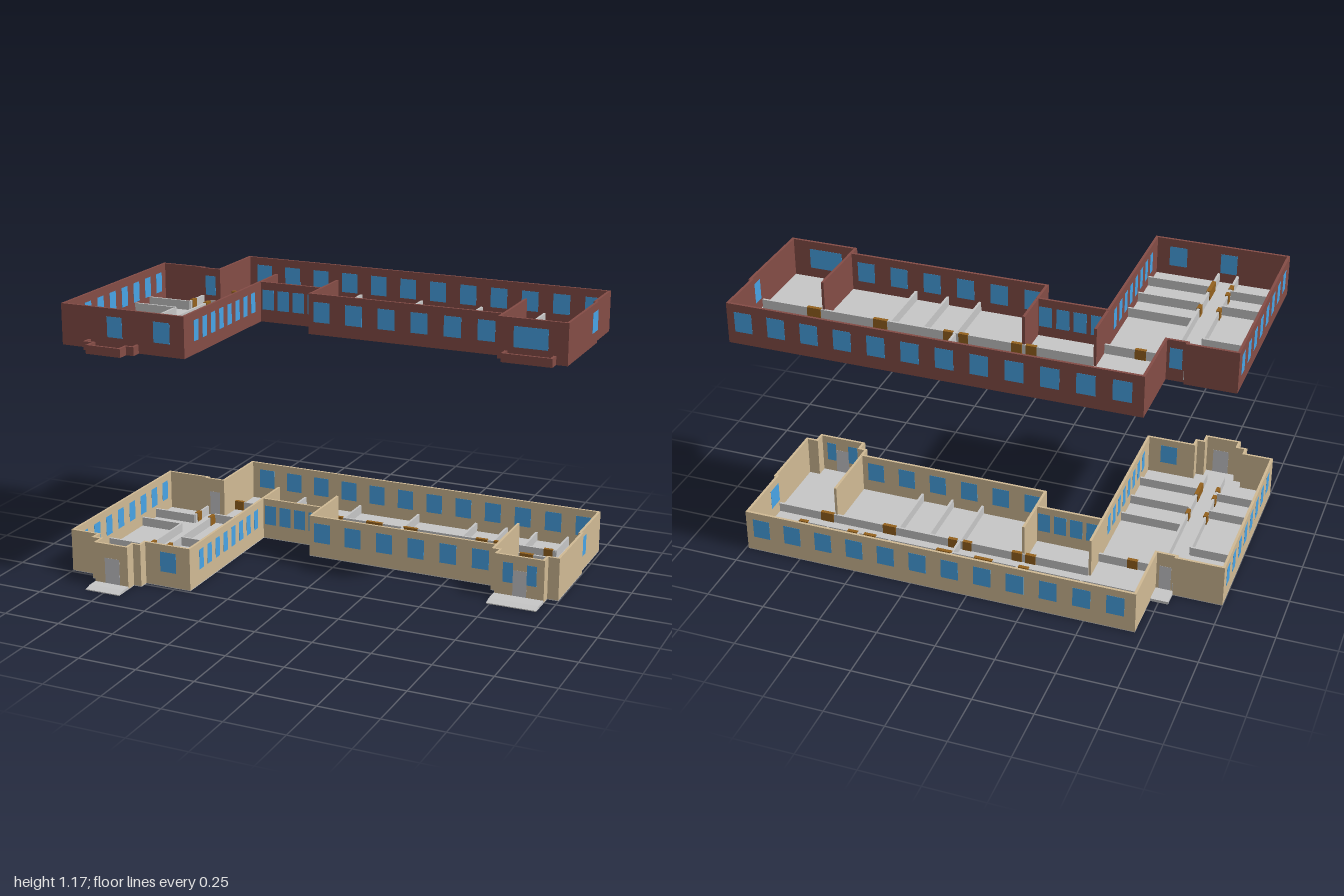
import * as THREE from 'three';

const T = 0.011; // outer wall thickness

const mat = (name, color) => Object.assign(new THREE.MeshStandardMaterial({ color }), { name });

// Footprint as [x, z] corners; jog is where the east wall steps outward
function footprint(jog, withPorches) {
  const east = withPorches ? [[0.95, -0.04], [0.95, 0.008], [0.735, 0.008], [0.735, -0.04]] : [];
  const west = withPorches
    ? [[-0.64, 0.488], [-0.64, 0.53], [-0.675, 0.53], [-0.675, 0.577], [-0.835, 0.577], [-0.835, 0.53], [-0.875, 0.53], [-0.875, 0.488]]
    : [];
  return [
    [-0.715, -0.655], [0.989, -0.655], [0.989, jog], [0.998, jog], [0.998, -0.04], ...east,
    [0.703, -0.04], [0.703, -0.085], [-0.15, -0.085], [-0.15, -0.2], [-0.43, -0.2], [-0.43, 0.488], ...west,
    [-1, 0.488], [-1, -0.37], [-0.79, -0.37], [-0.79, -0.357], [-0.715, -0.357],
  ];
}

// Offset a right-angled outline inward by d
function inset(pts, d) {
  const n = pts.length;
  const dir = (a, b) => [Math.sign(b[0] - a[0]), Math.sign(b[1] - a[1])];
  return pts.map((p, i) => {
    const a = dir(pts[(i + n - 1) % n], p);
    const b = dir(p, pts[(i + 1) % n]);
    return [p[0] - d * (a[1] + b[1]), p[1] + d * (a[0] + b[0])];
  });
}

const toVec = (pts) => pts.map(([x, z]) => new THREE.Vector2(x, -z));

// Upright prism over a footprint, optionally hollow (the hole winds the other way)
function prism(name, pts, y0, y1, material, hole) {
  const shape = new THREE.Shape(toVec(pts));
  if (hole) shape.holes.push(new THREE.Path(toVec(hole).reverse()));
  const geo = new THREE.ExtrudeGeometry(shape, { depth: y1 - y0, bevelEnabled: false });
  geo.rotateX(-Math.PI / 2).translate(0, y0, 0);
  const mesh = new THREE.Mesh(geo, material);
  mesh.name = name;
  return mesh;
}

function box(name, x0, x1, y0, y1, z0, z1, material) {
  const mesh = new THREE.Mesh(new THREE.BoxGeometry(x1 - x0, y1 - y0, z1 - z0), material);
  mesh.position.set((x0 + x1) / 2, (y0 + y1) / 2, (z0 + z1) / 2);
  mesh.name = name;
  return mesh;
}

// Entrance slab with a sloped front edge
function ramp(x0, x1, z0, z1, material) {
  const s = new THREE.Shape(toVec([[z0, 0], [z1, 0], [z1, -0.004], [z1 - 0.035, -0.012], [z0, -0.012]]));
  const geo = new THREE.ExtrudeGeometry(s, { depth: x1 - x0, bevelEnabled: false });
  geo.rotateY(-Math.PI / 2).translate(x1, 0, 0);
  const mesh = new THREE.Mesh(geo, material);
  mesh.name = 'entranceRamp';
  return mesh;
}

// Low inner walls: [fixed coordinate, from, to]
const ALONG_X = [
  [-0.46, -0.71, 0.85], [-0.37, -0.43, 0.98], [-0.26, -0.71, -0.44],
  [-0.215, -0.99, -0.79], [-0.09, -0.99, -0.79], [0.2, -0.99, -0.79], [0.34, -0.99, -0.79],
  [0.06, -0.71, -0.44], [0.2, -0.71, -0.44], [0.35, -0.71, -0.44],
];
const ALONG_Z = [
  ...[-0.43, -0.15, 0.14, 0.42, 0.565, 0.705, 0.85].map((x) => [x, -0.645, -0.46]),
  ...[0.14, 0.28, 0.42].map((x) => [x, -0.37, -0.095]),
  [0.14, -0.46, -0.37], [-0.71, -0.26, 0.478], [-0.79, -0.36, -0.215], [-0.79, -0.09, 0.478],
];
// Inner doors, same layout
const DOORS_X = [
  [-0.46, -0.705, -0.66], [-0.46, -0.2, -0.155], [-0.46, -0.04, 0.04], [-0.46, 0.14, 0.21],
  [-0.46, 0.485, 0.54], [-0.46, 0.57, 0.615], [-0.46, 0.8, 0.84],
  [-0.37, -0.2, -0.155], [-0.37, -0.14, -0.095], [-0.37, 0.085, 0.125], [-0.37, 0.15, 0.19],
  [-0.37, 0.43, 0.49], [-0.37, 0.72, 0.78], [-0.26, -0.61, -0.565],
];
const DOORS_Z = [
  [-0.79, -0.27, -0.235], [-0.79, 0.145, 0.18], [-0.79, 0.29, 0.32], [-0.79, 0.35, 0.385],
  [-0.71, -0.25, -0.21], [-0.71, 0.145, 0.18], [-0.71, 0.3, 0.395],
];

function story(name, { height, jog, wall, base, winY, porches }, m) {
  const g = new THREE.Group();
  g.name = name;
  const full = footprint(jog, true);
  const outer = footprint(jog, porches);
  const floorY = 0.012;
  const partY = 0.052;

  // Base, floor and outer walls
  g.add(prism('base', full, 0, 0.003, base));
  g.add(prism('floor', inset(full, T), 0.003, floorY, m.floor));
  g.add(prism('outerWalls', outer, 0.003, height, wall, inset(outer, T)));
  if (!porches) g.add(prism('porchCurb', full, 0.003, 0.037, wall, inset(full, T)));

  // Full-height cross walls
  for (const [x, z0, z1] of [[0.703, -0.37, -0.08], [-0.15, -0.37, -0.195], [-0.43 - T, -0.37, -0.195]]) {
    g.add(box('crossWall', x, x + T, floorY, height - 0.0005, z0, z1, wall));
  }

  // Partitions and inner doors
  const low = (label, list, alongX, half, top, material) => {
    for (const [c, a, b] of list) {
      g.add(alongX
        ? box(label, a, b, floorY, top, c - half, c + half, material)
        : box(label, c - half, c + half, floorY, top, a, b, material));
    }
  };
  low('partition', ALONG_X, true, 0.005, partY, m.floor);
  low('partition', ALONG_Z, false, 0.005, partY - 0.0005, m.floor);
  low('innerDoor', DOORS_X, true, 0.008, partY + 0.002, m.wood);
  low('innerDoor', DOORS_Z, false, 0.008, partY + 0.002, m.wood);

  // Panes show on both wall faces; c is the wall's centre line
  const [y0, y1] = winY;
  const t = T / 2;
  const h = t + 0.0006;
  const paneX = (c, x, w) => g.add(box('window', x - w / 2, x + w / 2, y0, y1, c - h, c + h, m.glass));
  const paneZ = (c, z, w) => g.add(box('window', c - h, c + h, y0, y1, z - w / 2, z + w / 2, m.glass));
  const doorX = (c, x, w) => g.add(box('outerDoor', x - w / 2, x + w / 2, floorY, 0.125, c - h, c + h, m.door));
  for (let i = 0; i < 12; i++) paneX(-0.655 + t, 0.92 - 0.141 * i, 0.075);
  for (let i = 0; i < 6; i++) paneX(-0.085 - t, -0.09 + 0.146 * i, 0.075);
  for (let i = 0; i < 4; i++) paneX(-0.2 - t, -0.395 + 0.0715 * i, 0.054);
  for (let i = 0; i < 8; i++) {
    paneZ(-0.43 - t, 0.386 - 0.073 * i, 0.038);
    paneZ(-1 + t, -0.3 + 0.1 * i, 0.05);
  }
  paneX(0.488 - t, -0.533, 0.075);
  paneZ((jog < -0.4 ? 0.998 : 0.989) - t, -0.408, 0.075);
  if (porches) {
    doorX(0.577 - t, -0.75, 0.07);
    doorX(-0.357 + t, -0.752, 0.05);
    doorX(0.008 - t, 0.845, 0.06);
    paneX(0.008 - t, 0.793, 0.044);
    paneX(0.008 - t, 0.896, 0.042);
    g.add(ramp(-0.835, -0.675, 0.577, 0.655, m.floor));
    g.add(ramp(0.735, 0.95, 0.008, 0.105, m.floor));
    g.add(box('backStep', -0.79, -0.715, 0, 0.012, -0.437, -0.357, m.floor));
  } else {
    paneX(0.488 - t, -0.75, 0.07);
    paneX(-0.357 + t, -0.752, 0.05);
    paneX(-0.04 - t, 0.843, 0.145);
  }
  return g;
}

export function createModel() {
  const m = {
    brick: mat('brick red', 0x844c46),
    tan: mat('tan wall', 0xd0ba94),
    glass: mat('window blue', 0x48a4e6),
    floor: mat('floor grey', 0xc6c6c6),
    door: mat('door grey', 0xc8c8cb),
    wood: mat('door brown', 0x94621e),
  };
  const model = new THREE.Group();
  model.name = 'splitBuilding';
  model.add(story('lowerFloor', {
    height: 0.187, jog: -0.37, wall: m.tan, base: m.floor, winY: [0.067, 0.155], porches: true,
  }, m));
  const upper = story('upperFloor', {
    height: 0.175, jog: -0.445, wall: m.brick, base: m.brick, winY: [0.054, 0.141], porches: false,
  }, m);
  upper.position.y = 1;
  model.add(upper);
  return model;
}
